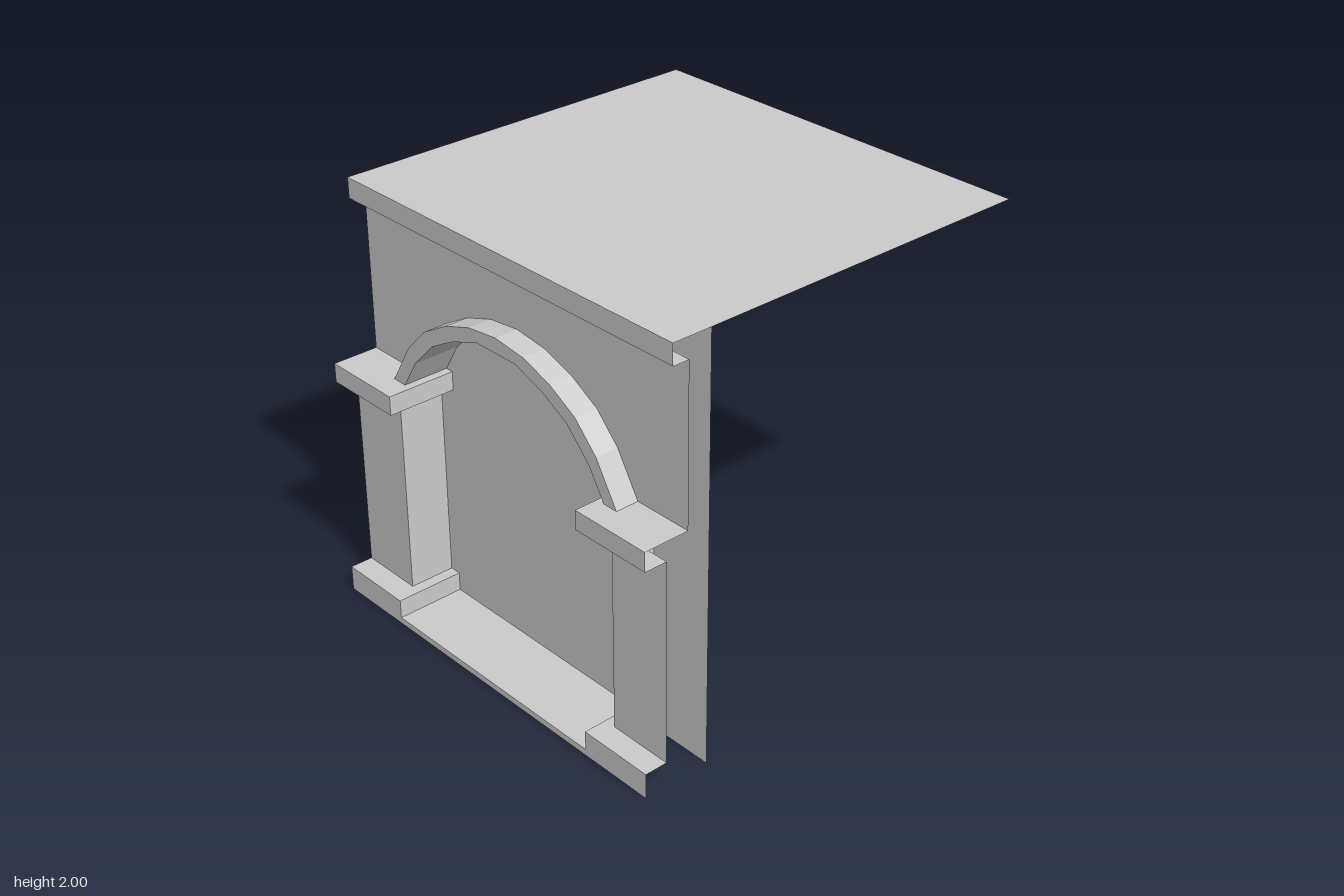
import * as THREE from 'three';

const material = new THREE.MeshStandardMaterial({ color: 0xcccccc, side: THREE.DoubleSide, flatShading: true });

// Depths of the layered facade
const BACK = 0.67, WALL = 0.78, PILLAR = 0.89, FRONT = 1, CORNICE = 0.86;
// Heights
const FLOOR = 0.03, PLINTH = 0.12, CAP_LOW = 1.08, CAP_TOP = 1.17, FRIEZE = 1.905, TOP = 2;

function addMesh(parent, name, geometry) {
  const mesh = new THREE.Mesh(geometry, material);
  mesh.name = name;
  parent.add(mesh);
}

// Ribbon of flat quads between two matching polylines of [x, y, z] points
function loft(a, b) {
  const pos = [];
  for (let i = 0; i < a.length - 1; i++) {
    pos.push(...a[i], ...a[i + 1], ...b[i + 1], ...a[i], ...b[i + 1], ...b[i]);
  }
  const g = new THREE.BufferGeometry();
  g.setAttribute('position', new THREE.Float32BufferAttribute(pos, 3));
  g.computeVertexNormals();
  return g;
}

// Straight line across the full width
const across = (y, z, half = 1) => [[-half, y, z], [half, y, z]];

// L-shaped outline of a pier: inner side from the back, then along the front
function pier(side, inner, front, y) {
  const pts = [[inner, y, BACK], [inner, y, front], [1, y, front]];
  return side > 0 ? pts : pts.map(([x, py, z]) => [-x, py, z]).reverse();
}

// Mirror half an arch (from springing to crown) into a left-to-right line
function arc(half) {
  const left = half.map(([x, y]) => [-x, y]);
  return left.concat(half.filter(([x]) => x > 0).reverse());
}

function flat(points, z) {
  const shape = new THREE.Shape(points.map(([x, y]) => new THREE.Vector2(x, y)));
  return new THREE.ShapeGeometry(shape).translate(0, 0, z);
}

export function createModel() {
  const group = new THREE.Group();
  group.name = 'archedFacade';

  // Large plain surfaces
  addMesh(group, 'roof', loft(across(TOP, CORNICE), across(TOP, -1)));
  addMesh(group, 'backWall', loft(across(0, BACK), across(TOP, BACK)));

  // Cornice
  addMesh(group, 'corniceFront', loft(across(FRIEZE, CORNICE), across(TOP, CORNICE)));
  addMesh(group, 'corniceUnderside', loft(across(FRIEZE, WALL), across(FRIEZE, CORNICE)));

  // Step between the plinths
  addMesh(group, 'stepFront', loft(across(0, FRONT), across(FLOOR, FRONT)));
  addMesh(group, 'stepTop', loft(across(FLOOR, FRONT, 0.63), across(FLOOR, BACK, 0.63)));

  // Piers with plinth, shaft and capital
  for (const side of [1, -1]) {
    const part = new THREE.Group();
    part.name = side > 0 ? 'leftPier' : 'rightPier';
    group.add(part);
    const plinth = (y) => pier(side, 0.63, FRONT, y);
    const shaft = (y) => pier(side, 0.685, PILLAR, y);
    const capital = (y) => pier(side, 0.6, FRONT, y);
    addMesh(part, 'plinthSides', loft(plinth(FLOOR), plinth(PLINTH)));
    addMesh(part, 'plinthTop', loft(plinth(PLINTH), shaft(PLINTH)));
    addMesh(part, 'shaft', loft(shaft(PLINTH), shaft(CAP_LOW)));
    addMesh(part, 'capitalUnderside', loft(shaft(CAP_LOW), capital(CAP_LOW)));
    addMesh(part, 'capitalSides', loft(capital(CAP_LOW), capital(CAP_TOP)));
    addMesh(part, 'capitalTop', loft(capital(CAP_TOP), pier(side, 0.64, WALL, CAP_TOP)));
  }

  // Arch moulding
  const outer = arc([[0.715, CAP_TOP], [0.6, 1.36], [0.48, 1.484], [0.328, 1.57], [0.17, 1.623], [0, 1.643]]);
  const inner = arc([[0.64, CAP_TOP], [0.555, 1.307], [0.43, 1.435], [0.285, 1.515], [0.122, 1.573]]);
  const at = (line, z) => line.map(([x, y]) => [x, y, z]);
  addMesh(group, 'archFace', flat([...outer, ...[...inner].reverse()], PILLAR));
  addMesh(group, 'archOuterEdge', loft(at(outer, PILLAR), at(outer, WALL)));
  addMesh(group, 'archSoffit', loft(at(inner, BACK), at(inner, PILLAR)));

  // Upper wall cut out around the arch
  addMesh(group, 'upperWall', flat(
    [[-1, CAP_TOP], ...inner, [1, CAP_TOP], [1, FRIEZE], [-1, FRIEZE]], WALL));

  return group;
}
